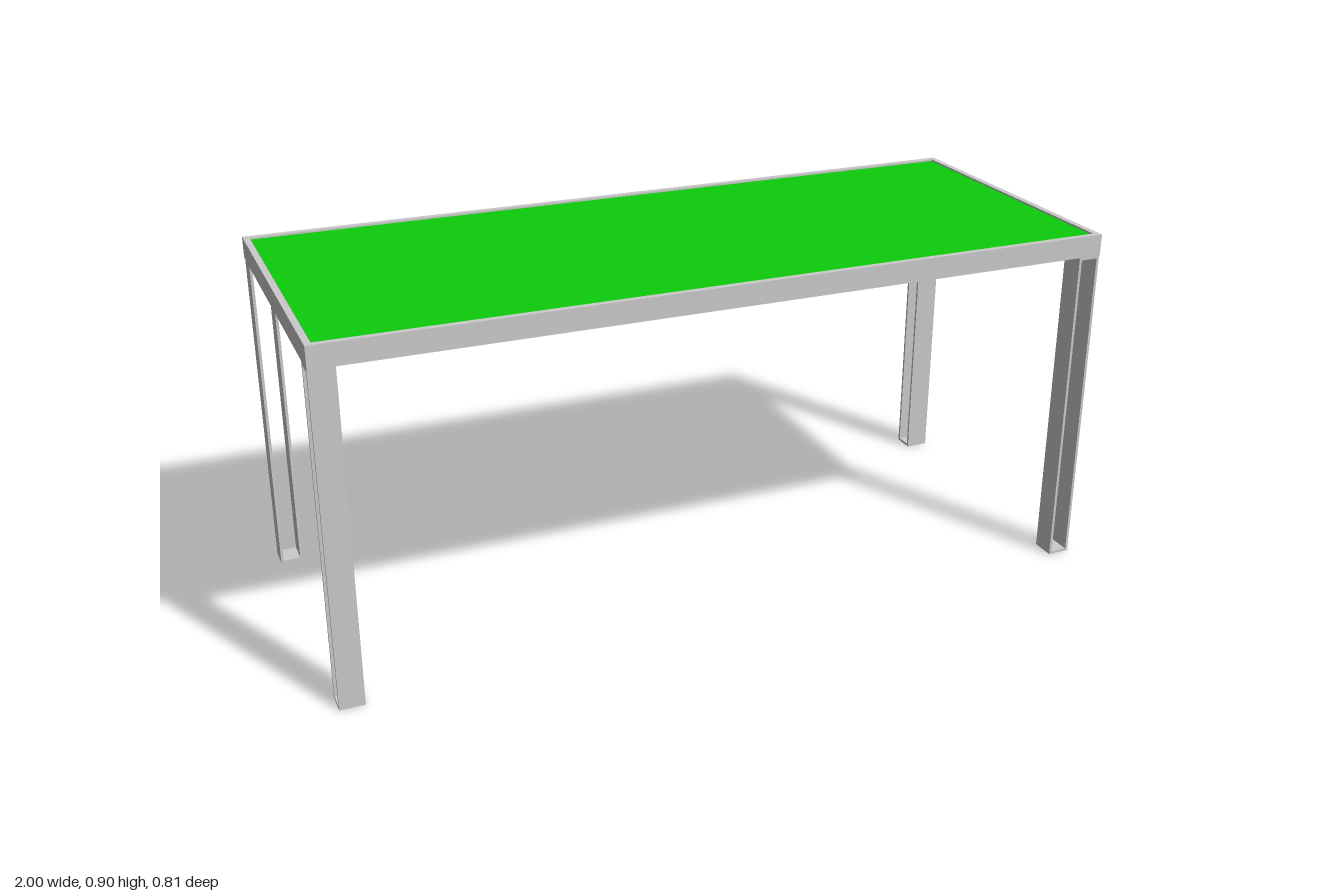
import * as THREE from 'three';

const W = 1, D = 0.407;              // half width and half depth of the table
const LEG_H = 0.845, TOP = 0.9, RIM = 0.016;
const LEG_DEEP = 0.062, LEG_WIDE = 0.058, WALL = 0.007;

const grey = new THREE.MeshStandardMaterial({ color: 0xcccccc });
const green = new THREE.MeshStandardMaterial({ color: 0x0ccc0c });

// Rectangular outline centred on (0, cy)
function rect(PathType, hw, hh, cy = 0) {
  return new PathType([
    [-hw, cy - hh], [hw, cy - hh], [hw, cy + hh], [-hw, cy + hh],
  ].map(([x, y]) => new THREE.Vector2(x, y)));
}

// Rectangular frame extruded by depth along z
function frame(hw, hh, wall, depth, cy = 0) {
  const shape = rect(THREE.Shape, hw, hh, cy);
  shape.holes.push(rect(THREE.Path, hw - wall, hh - wall, cy));
  return new THREE.ExtrudeGeometry(shape, { depth, bevelEnabled: false });
}

export function createModel() {
  const model = new THREE.Group();
  model.name = 'table';

  function add(geometry, material, name) {
    const mesh = new THREE.Mesh(geometry, material);
    mesh.name = name;
    model.add(mesh);
    return mesh;
  }

  // Rim around the tabletop
  const rim = frame(W, D, RIM, TOP - LEG_H);
  rim.rotateX(-Math.PI / 2).translate(0, LEG_H, 0);
  add(rim, grey, 'tabletopRim');

  // Coloured panel set just inside the rim
  const bottom = LEG_H + 0.006, top = TOP - 0.005;
  const panel = new THREE.BoxGeometry(2 * (W - RIM), top - bottom, 2 * (D - RIM));
  panel.translate(0, (top + bottom) / 2, 0);
  add(panel, green, 'tabletopPanel');

  // Hollow legs, open through z or x on alternating corners
  const legShape = frame(LEG_WIDE / 2, LEG_H / 2, WALL, LEG_DEEP, LEG_H / 2);
  legShape.translate(0, 0, -LEG_DEEP / 2);
  for (const sx of [-1, 1]) {
    for (const sz of [-1, 1]) {
      const name = (sz > 0 ? 'front' : 'back') + (sx > 0 ? 'Left' : 'Right') + 'Leg';
      const leg = add(legShape, grey, name);
      leg.position.set(sx * (W - LEG_DEEP / 2), 0, sz * (D - LEG_DEEP / 2));
      if (sx !== sz) leg.rotation.y = Math.PI / 2;
    }
  }
  return model;
}
